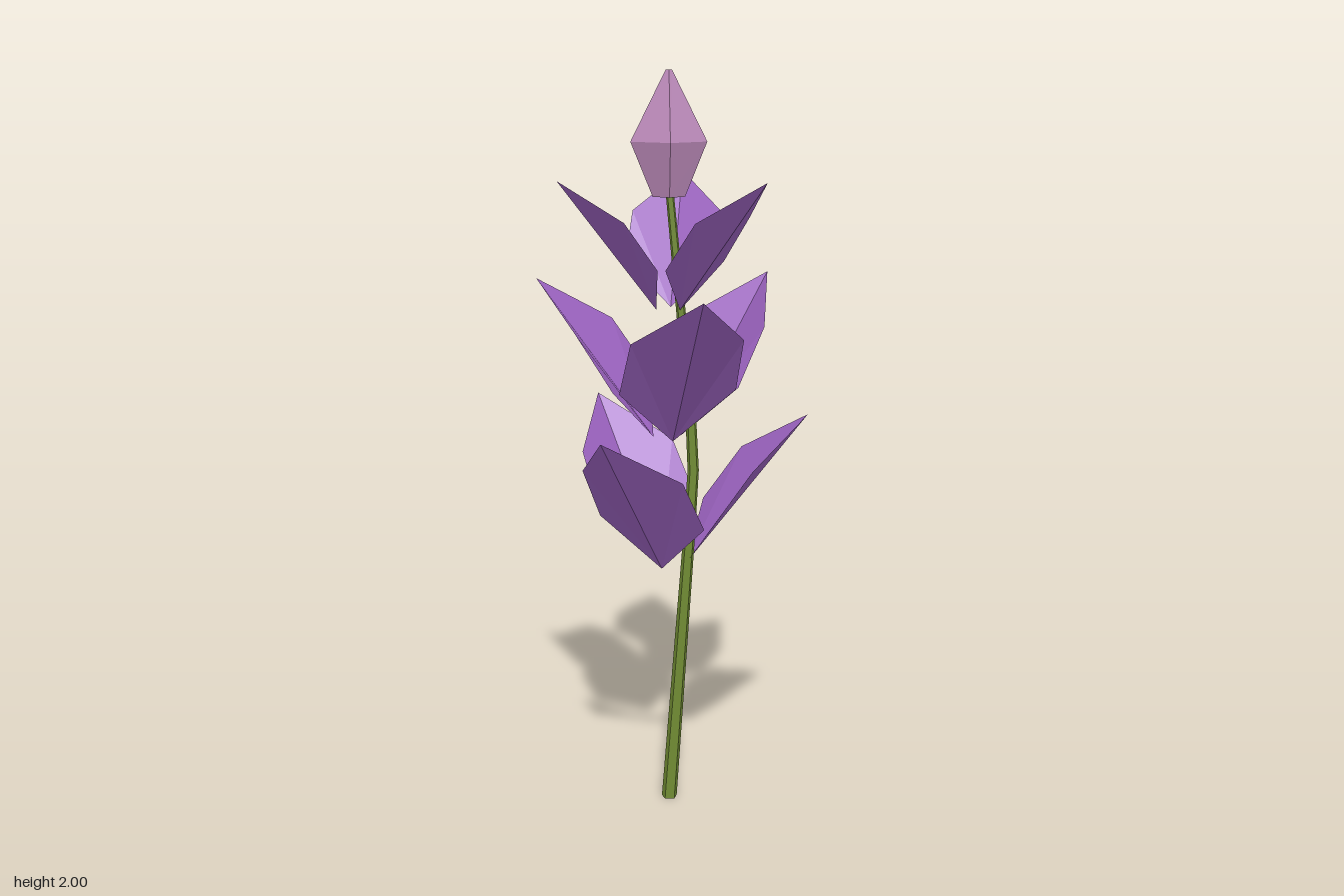
import * as THREE from 'three';

const CX = -0.012, CZ = -0.025; // axis of the plant

// Loft closed rings of [x, y, z, rx, rz] into a flat-shaded solid with end caps
function loft(rings, sides, turn = 0) {
  const pos = [];
  const at = ([x, y, z, rx, rz], i) => {
    const a = turn + (i / sides) * Math.PI * 2;
    return [x + Math.cos(a) * rx, y, z - Math.sin(a) * rz];
  };
  for (let i = 0; i < sides; i++) {
    for (let r = 0; r < rings.length - 1; r++) {
      const a = at(rings[r], i), b = at(rings[r], i + 1);
      const c = at(rings[r + 1], i + 1), d = at(rings[r + 1], i);
      pos.push(...a, ...b, ...c, ...a, ...c, ...d);
    }
    const lo = rings[0], hi = rings[rings.length - 1];
    pos.push(...lo.slice(0, 3), ...at(lo, i + 1), ...at(lo, i));
    pos.push(...hi.slice(0, 3), ...at(hi, i), ...at(hi, i + 1));
  }
  return finish(pos);
}

function finish(pos) {
  const g = new THREE.BufferGeometry();
  g.setAttribute('position', new THREE.Float32BufferAttribute(pos, 3));
  g.computeVertexNormals();
  return g;
}

// Petal folded along its midrib, pointing outward along +x
function petalGeometry() {
  const base = [0.044, 0, 0], tip = [0.373, 0.415, 0];
  const pos = [];
  for (const s of [1, -1]) {
    const low = [0.104, 0.145, 0.156 * s], high = [0.21, 0.294, 0.147 * s];
    if (s > 0) pos.push(...base, ...low, ...high, ...base, ...high, ...tip);
    else pos.push(...base, ...high, ...low, ...base, ...tip, ...high);
  }
  return finish(pos);
}

export function createModel() {
  const model = new THREE.Group();
  model.name = 'flowerSpike';
  const mat = (name, color, side = THREE.FrontSide) =>
    new THREE.MeshStandardMaterial({ name, color, side, flatShading: true });
  const green = mat('stemGreen', 0x6f8a32);
  const purple = mat('petalPurple', 0x9a62be, THREE.DoubleSide);
  const pink = mat('budPink', 0xbe8cbc);

  const add = (name, geometry, material, parent = model) => {
    const mesh = new THREE.Mesh(geometry, material);
    mesh.name = name;
    parent.add(mesh);
    return mesh;
  };

  // Gently bowed, tapering stem
  add('stem', loft([
    [CX, 0, CZ + 0.005, 0.022, 0.022],
    [0.042, 0.76, CZ + 0.005, 0.017, 0.016],
    [0.053, 0.95, CZ + 0.005, 0.016, 0.015],
    [0.046, 1.1, CZ + 0.005, 0.015, 0.014],
    [-0.01, 1.69, CZ + 0.005, 0.011, 0.011],
  ], 5, 0.3), green);

  // Three whorls of three petals: base height, size, first angle in degrees
  const petal = petalGeometry();
  const whorls = [
    ['lowerWhorl', 0.685, 1, 0],
    ['middleWhorl', 1.04, 1, 80],
    ['upperWhorl', 1.388, 0.82, 40],
  ];
  for (const [name, y, size, start] of whorls) {
    const whorl = new THREE.Group();
    whorl.name = name;
    whorl.position.set(CX, y, CZ);
    whorl.scale.setScalar(size);
    for (let i = 0; i < 3; i++) {
      const mesh = add('petal', petal, purple, whorl);
      mesh.rotation.y = -THREE.MathUtils.degToRad(start + i * 120);
    }
    model.add(whorl);
  }

  // Four-sided closed bud at the tip
  add('bud', loft([
    [CX, 1.68, CZ, 0.042, 0.034],
    [CX, 1.82, CZ, 0.099, 0.08],
    [CX, 2, CZ, 0.008, 0.007],
  ], 4), pink);

  return model;
}
